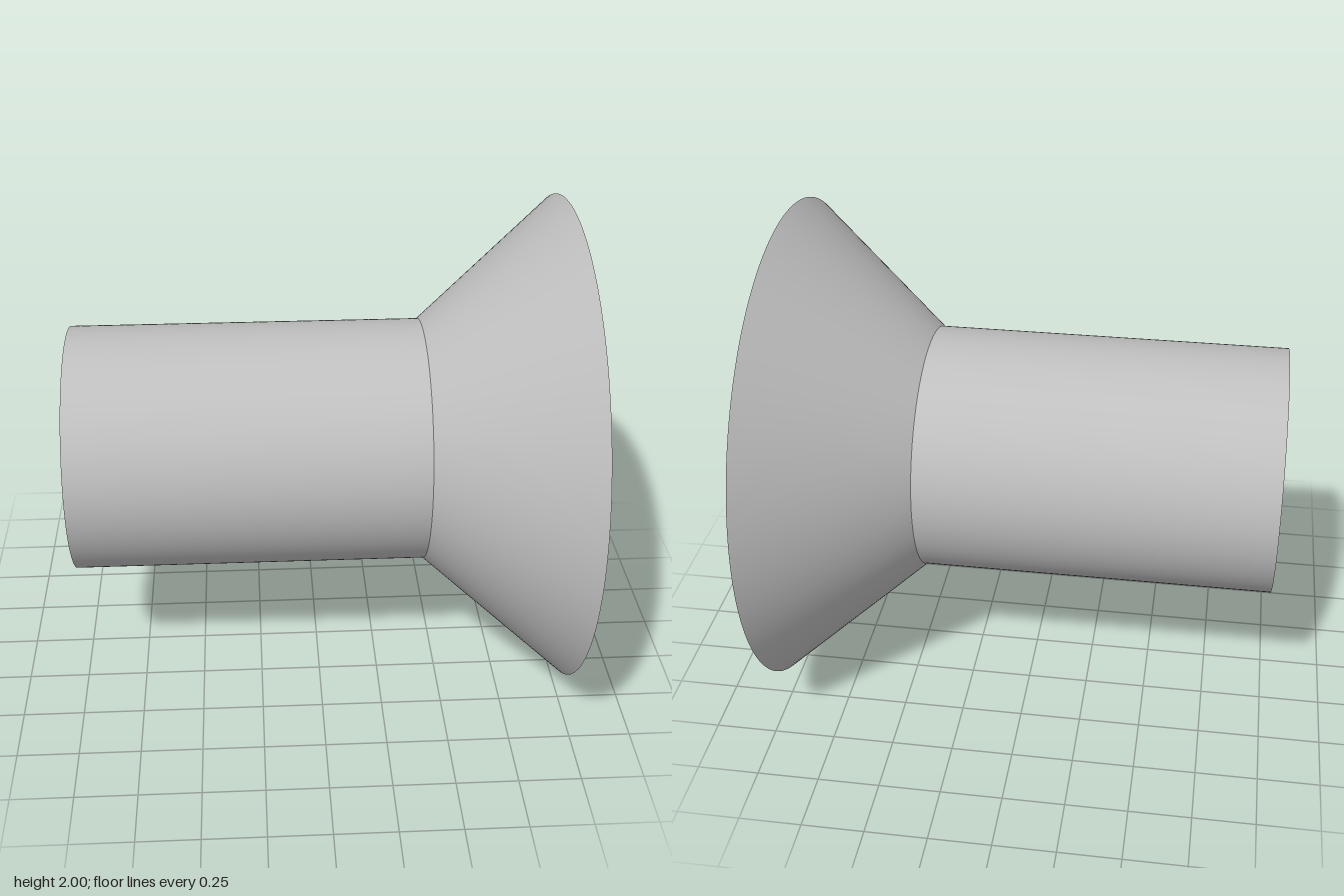
import * as THREE from 'three';

const SEGMENTS = 128;
const SHANK_END = -1, NECK = 0.43, HEAD_END = 1;
const SHANK_R = 0.5, HEAD_R = 1;
const SOCKET_R = 0.386, SOCKET_DEPTH = 0.36;

// Open tube along x, from x0 (radius r0) to x1 (radius r1)
function tubeAlongX(x0, r0, x1, r1, sides = SEGMENTS) {
  return new THREE.CylinderGeometry(r1, r0, x1 - x0, sides, 1, true, Math.PI / 2)
    .rotateZ(-Math.PI / 2)
    .translate((x0 + x1) / 2, 0, 0);
}

// Flat disc or polygon facing +x (side 1) or -x (side -1)
function discAtX(x, r, side, sides = SEGMENTS) {
  return new THREE.CircleGeometry(r, sides, Math.PI / 2)
    .rotateY(side * Math.PI / 2)
    .translate(x, 0, 0);
}

export function createModel() {
  const steel = new THREE.MeshStandardMaterial({ color: 0xbfbfbf });
  steel.name = 'steel';

  const screw = new THREE.Group();
  screw.name = 'countersunkScrew';
  screw.position.y = HEAD_R;

  const add = (name, geometry) => {
    const mesh = new THREE.Mesh(geometry, steel);
    mesh.name = name;
    screw.add(mesh);
  };

  // Plain shank with a flat end
  add('shank', tubeAlongX(SHANK_END, SHANK_R, NECK, SHANK_R));
  add('shankEnd', discAtX(SHANK_END, SHANK_R, -1));

  // Conical head
  add('headCone', tubeAlongX(NECK, SHANK_R, HEAD_END, HEAD_R));

  // Flat head face with a hexagonal opening
  const face = new THREE.Shape().absarc(0, 0, HEAD_R, 0, Math.PI * 2);
  const hexagon = Array.from({ length: 6 }, (_, i) => {
    const a = Math.PI / 2 - i * Math.PI / 3;
    return new THREE.Vector2(SOCKET_R * Math.cos(a), SOCKET_R * Math.sin(a));
  });
  face.holes.push(new THREE.Path(hexagon));
  add('headFace', new THREE.ShapeGeometry(face, SEGMENTS)
    .rotateY(Math.PI / 2)
    .translate(HEAD_END, 0, 0));

  // Socket walls, mirrored in z so they face inwards
  const floorX = HEAD_END - SOCKET_DEPTH;
  const walls = tubeAlongX(floorX, SOCKET_R, HEAD_END, SOCKET_R, 6)
    .toNonIndexed()
    .scale(1, 1, -1);
  walls.computeVertexNormals();
  add('socketWalls', walls);
  add('socketFloor', discAtX(floorX, SOCKET_R, 1, 6));

  const model = new THREE.Group();
  model.name = 'screwModel';
  model.add(screw);
  return model;
}
